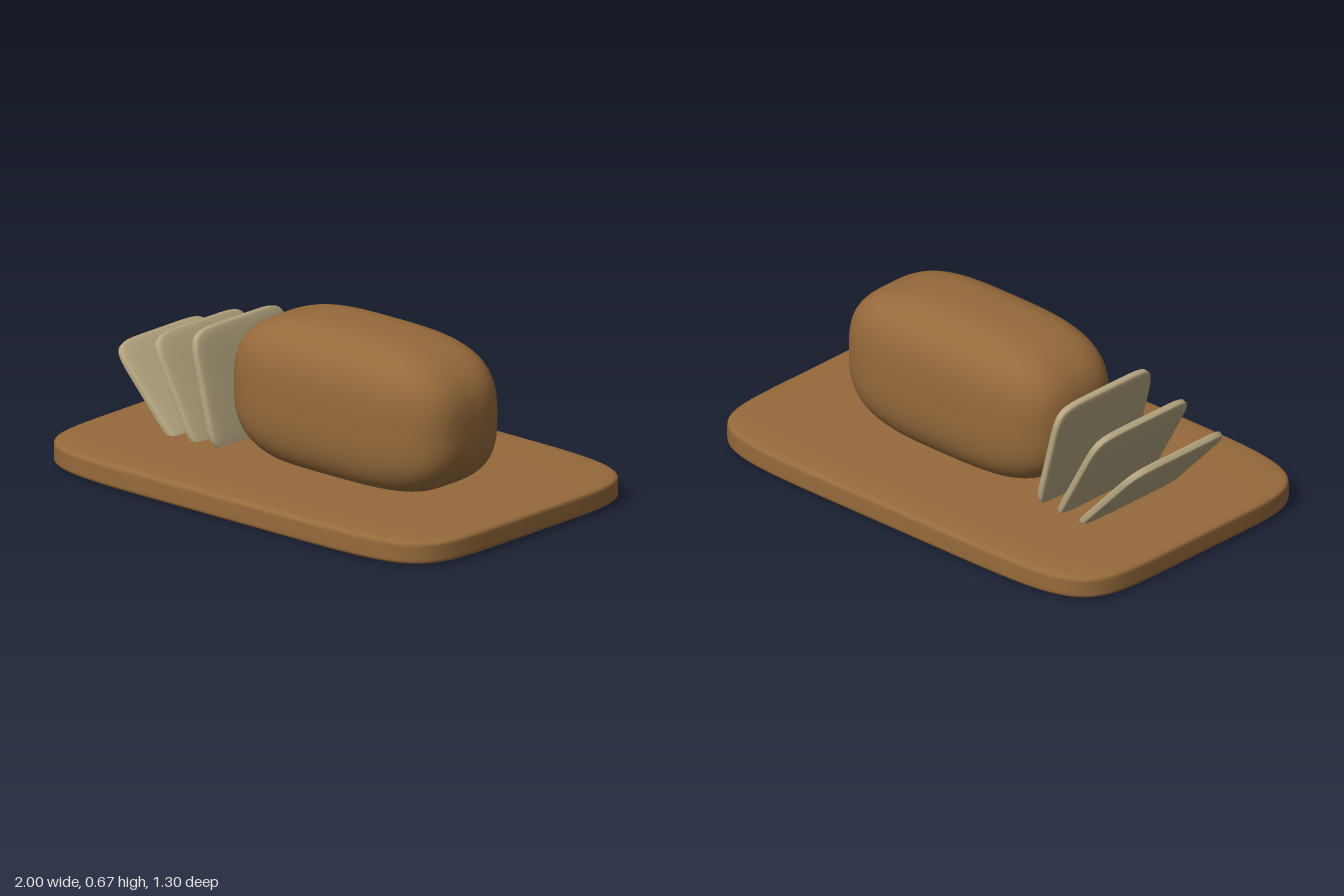
import * as THREE from 'three';

const crust = new THREE.MeshStandardMaterial({ color: 0x966a3b });
crust.name = 'warm brown';
const crumb = new THREE.MeshStandardMaterial({ color: 0xb5a680 });
crumb.name = 'pale crumb';

// Soft box: (|u|^a + |v|^a)^(b/a) + |w|^b = 1, where w is the axis with its own exponent b
function softBox(half, axis, a, b, seg) {
  const geo = new THREE.BoxGeometry(2, 2, 2, seg, seg, seg);
  const pos = geo.attributes.position, nor = geo.attributes.normal;
  const [iu, iv] = [0, 1, 2].filter((i) => i !== axis);
  const n = new THREE.Vector3();
  for (let k = 0; k < pos.count; k++) {
    // crowd the grid lines toward the rounded edges
    const p = [pos.getX(k), pos.getY(k), pos.getZ(k)].map((t) => Math.sin(t * Math.PI / 2));
    const ring = (q) => Math.abs(q[iu]) ** a + Math.abs(q[iv]) ** a;
    const s = (ring(p) ** (b / a) + Math.abs(p[axis]) ** b) ** (-1 / b);
    const q = p.map((t) => t * s);
    pos.setXYZ(k, q[0] * half[0], q[1] * half[1], q[2] * half[2]);
    // surface gradient gives seamless smooth normals
    const r = Math.max(ring(q), 1e-9) ** (b / a - 1);
    const g = q.map((t, i) => Math.sign(t) / half[i] *
      (i === axis ? Math.abs(t) ** (b - 1) : r * Math.abs(t) ** (a - 1)));
    n.set(...g).normalize();
    nor.setXYZ(k, n.x, n.y, n.z);
  }
  return geo;
}

function addPart(group, name, geo, material, x, y, z) {
  const mesh = new THREE.Mesh(geo, material);
  mesh.name = name;
  mesh.position.set(x, y, z);
  group.add(mesh);
  return mesh;
}

export function createModel() {
  const model = new THREE.Group();
  model.name = 'breadOnBoard';

  // Cutting board
  addPart(model, 'cuttingBoard', softBox([1, 0.0555, 0.65], 1, 6.5, 9, 32), crust, 0, 0.0555, 0);

  // Loaf, sunk slightly into the board
  addPart(model, 'loaf', softBox([0.548, 0.305, 0.275], 1, 3.4, 3, 32), crust, 0.15, 0.365, 0);

  // Three slices fanning away from the loaf
  const sliceGeo = softBox([0.022, 0.24, 0.26], 0, 7, 5, 24);
  for (let i = 0; i < 3; i++) {
    const slice = addPart(model, `slice${i + 1}`, sliceGeo, crumb, -0.447 - 0.145 * i, 0.315 - 0.039 * i, 0);
    slice.rotation.z = 0.25 * (i + 1);
  }
  return model;
}
